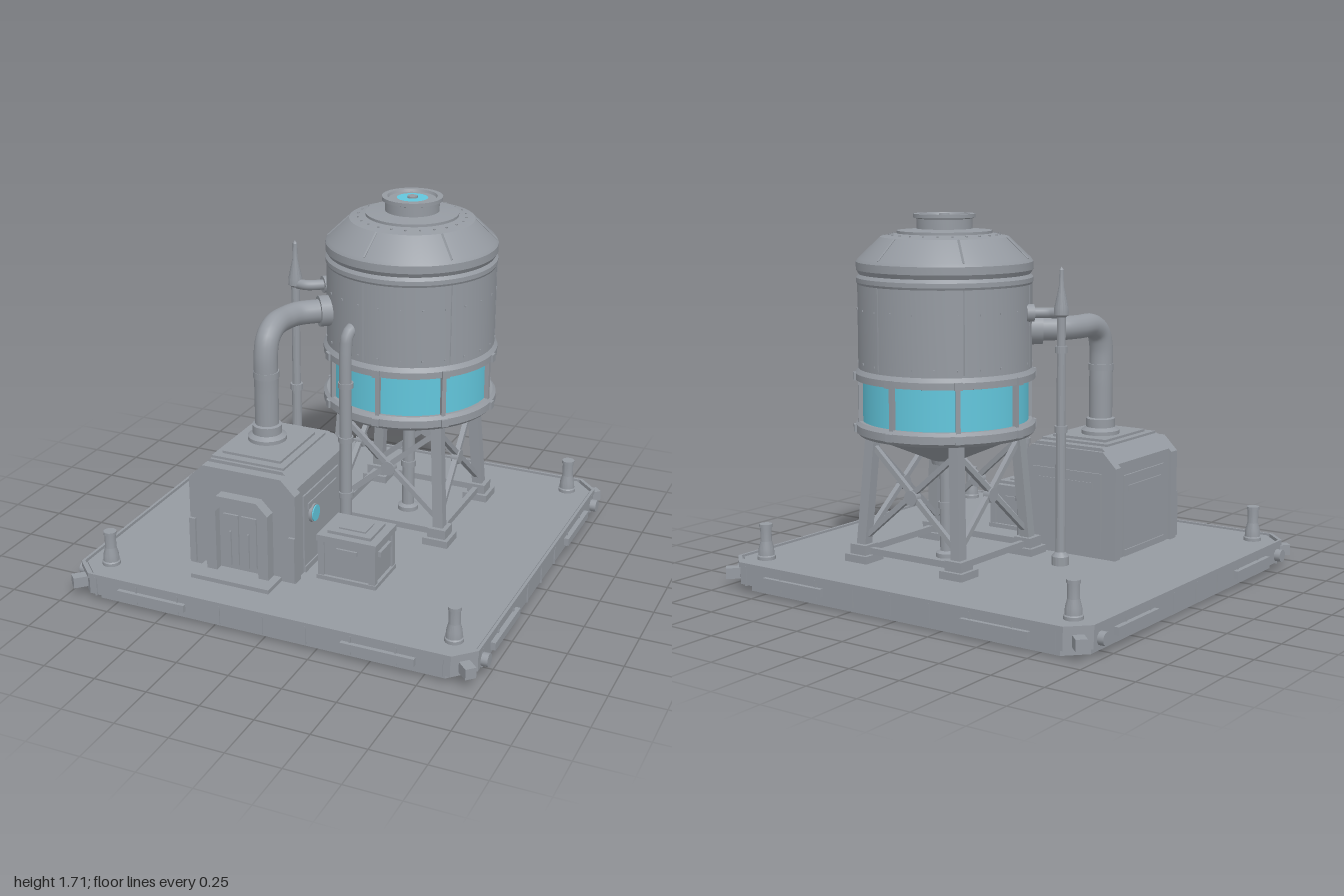
import * as THREE from 'three';
import { toCreasedNormals } from 'three/addons/utils/BufferGeometryUtils.js';

const V = (x, y, z) => new THREE.Vector3(x, y, z);
const mat = (name, color) => Object.assign(new THREE.MeshStandardMaterial({ color }), { name });

export function createModel() {
  const grey = mat('steel grey', 0x959aa1);
  const cyan = mat('water cyan', 0x62c6dc);
  const model = new THREE.Group();
  model.name = 'waterTower';

  const group = (name, x = 0, y = 0, z = 0) => {
    const g = new THREE.Group();
    g.name = name;
    g.position.set(x, y, z);
    model.add(g);
    return g;
  };
  const add = (parent, name, geo, x = 0, y = 0, z = 0, m = grey) => {
    const mesh = new THREE.Mesh(geo, m);
    mesh.name = name;
    mesh.position.set(x, y, z);
    parent.add(mesh);
    return mesh;
  };
  const box = (p, name, w, h, d, x, y, z) => add(p, name, new THREE.BoxGeometry(w, h, d), x, y, z);
  const lathe = (pts, seg = 24) => toCreasedNormals(
    new THREE.LatheGeometry(pts.map(([r, y]) => new THREE.Vector2(r, y)), seg), 0.35);
  // Straight bar or rod between two points
  const strut = (p, name, a, b, w, round) => {
    const len = a.distanceTo(b);
    const geo = round ? new THREE.CylinderGeometry(w, w, len, 16) : new THREE.BoxGeometry(w, len, w);
    const mesh = add(p, name, geo);
    mesh.position.copy(a).lerp(b, 0.5);
    mesh.quaternion.setFromUnitVectors(V(0, 1, 0), b.clone().sub(a).normalize());
    return mesh;
  };
  const tube = (p, name, pts, r) => add(p, name,
    new THREE.TubeGeometry(new THREE.CatmullRomCurve3(pts, false, 'centripetal'), 48, r, 18));
  const poly = pts => new THREE.Shape(pts.map(([x, y]) => new THREE.Vector2(x, y)));
  const octagon = (w, d, c) => poly([[-w + c, -d], [w - c, -d], [w, -d + c], [w, d - c],
    [w - c, d], [-w + c, d], [-w, d - c], [-w, -d + c]]);
  // Outline with a flat foot and two cut upper corners
  const gable = (w, h, c) => poly([[-w, 0], [w, 0], [w, h - c], [w - c, h], [-w + c, h], [-w, h - c]]);
  const extrude = (shape, depth) => new THREE.ExtrudeGeometry(shape, { depth, bevelEnabled: false });

  // Base slab: stacked octagonal layers
  const base = group('base');
  [['lowerSlab', 0.93, 0.9, 0, 0.035], ['mainSlab', 0.965, 0.935, 0.035, 0.085],
    ['topSlab', 0.95, 0.92, 0.12, 0.01]].forEach(([name, w, d, y, h]) => {
    add(base, name, extrude(octagon(w, d, 0.09), h), 0, y, 0).rotation.x = -Math.PI / 2;
  });
  const rim = octagon(0.97, 0.94, 0.09);
  rim.holes.push(octagon(0.957, 0.927, 0.088));
  add(base, 'topRim', extrude(rim, 0.025), 0, 0.113, 0).rotation.x = -Math.PI / 2;
  const post = lathe([[0, 0], [0.042, 0], [0.042, 0.015], [0.037, 0.02], [0.035, 0.05], [0.026, 0.085],
    [0.026, 0.15], [0.03, 0.15], [0.03, 0.165], [0, 0.165]]);
  for (const s of [-1, 1]) {
    for (const t of [-1, 1]) {
      box(base, 'edgePanelZ', 0.34, 0.036, 0.03, t * 0.55, 0.073, s * 0.94);
      box(base, 'edgePanelX', 0.03, 0.036, 0.33, s * 0.973, 0.073, t * 0.525);
      add(base, 'cornerPost', post, s * 0.84, 0.13, t * 0.8);
      box(base, 'cornerLight', 0.05, 0.05, 0.09, s * 0.935, 0.075, t * 0.905).rotation.y = s * t * Math.PI / 4;
    }
    for (let i = -4; i <= 4; i++) {
      box(base, 'edgeRib', 0.008, 0.09, 0.008, i * 0.21, 0.077, s * 0.937);
      box(base, 'edgeRib', 0.008, 0.09, 0.008, s * 0.967, 0.077, i * 0.2);
    }
    const bolt = add(base, 'sideBolt', new THREE.CylinderGeometry(0.03, 0.03, 0.03, 12), s * 0.985, 0.073, 0.8);
    bolt.rotation.z = Math.PI / 2;
    const bolt2 = bolt.clone();
    bolt2.position.z = -0.8;
    base.add(bolt2);
  }

  // Tank
  const tank = group('tank', 0.185, 0, -0.29);
  add(tank, 'tankBody', lathe([[0.38, 0.965], [0.41, 0.97], [0.41, 1.0], [0.395, 1.02], [0.395, 1.4],
    [0.4, 1.41], [0.4, 1.43], [0.388, 1.445], [0.4, 1.465], [0.4, 1.5], [0.39, 1.515], [0.29, 1.61], [0.215, 1.625],
    [0.215, 1.637], [0.125, 1.645], [0.125, 1.69], [0.14, 1.695], [0.14, 1.712], [0.115, 1.712],
    [0.11, 1.7], [0, 1.7]], 64));
  add(tank, 'waterWindow', new THREE.CylinderGeometry(0.379, 0.379, 0.21, 64, 1, true), 0, 0.87, 0, cyan);
  add(tank, 'tankFunnel', lathe([[0, 0.57], [0.065, 0.57], [0.07, 0.59], [0.36, 0.715], [0.395, 0.715],
    [0.41, 0.73], [0.41, 0.765], [0.395, 0.78], [0.37, 0.78]], 64));
  const lid = add(tank, 'lidGlass', new THREE.RingGeometry(0.025, 0.072, 32), 0, 1.704, 0, cyan);
  lid.rotation.x = -Math.PI / 2;
  add(tank, 'lidHub', new THREE.CylinderGeometry(0.024, 0.024, 0.012, 16), 0, 1.706, 0);
  for (let i = 0; i < 8; i++) {
    const a = i * Math.PI / 4;
    const at = (r, y) => V(r * Math.sin(a), y, r * Math.cos(a));
    box(tank, 'windowBar', 0.02, 0.2, 0.022, ...at(0.388, 0.875).toArray()).rotation.y = a;
    for (const y of [0.748, 0.985]) {
      box(tank, 'ringClamp', 0.035, 0.035, 0.02, ...at(0.41, y).toArray()).rotation.y = a;
    }
  }
  for (let i = 0; i < 6; i++) {
    const a = (11 - 60 * i) * Math.PI / 180;
    const at = (r, y) => V(r * Math.sin(a), y, -r * Math.cos(a));
    strut(tank, 'domeSeam', at(0.389, 1.515), at(0.291, 1.609), 0.008);
    strut(tank, 'wallSeam', at(0.394, 1.03), at(0.394, 1.4), 0.005);
  }
  for (let i = 0; i < 24; i++) {
    const a = i * Math.PI / 12;
    add(tank, 'roofRivet', new THREE.CylinderGeometry(0.005, 0.005, 0.006, 6),
      0.25 * Math.sin(a), 1.62, 0.25 * Math.cos(a));
    for (const y of [1.05, 1.29]) {
      box(tank, 'wallRivet', 0.008, 0.008, 0.008, 0.396 * Math.sin(a), y, 0.396 * Math.cos(a)).rotation.y = a;
    }
  }

  // Legs, feet and cross braces, one side at a time
  const frame = group('supportFrame', 0.185, 0, -0.29);
  for (let i = 0; i < 4; i++) {
    const side = new THREE.Group();
    side.name = 'frameSide';
    side.rotation.y = i * Math.PI / 2;
    frame.add(side);
    box(side, 'footPlate', 0.125, 0.035, 0.125, 0.27, 0.147, 0.27);
    box(side, 'footBlock', 0.09, 0.05, 0.09, 0.27, 0.185, 0.27);
    strut(side, 'leg', V(0.27, 0.19, 0.27), V(0.235, 0.73, 0.235), 0.05);
    strut(side, 'brace', V(-0.262, 0.24, 0.262), V(0.238, 0.67, 0.238), 0.024);
    strut(side, 'brace', V(0.262, 0.24, 0.262), V(-0.238, 0.67, 0.238), 0.024);
    box(side, 'lowerRail', 0.46, 0.03, 0.025, 0, 0.18, 0.268);
    add(side, 'braceHub', new THREE.CylinderGeometry(0.035, 0.035, 0.035, 16), 0, 0.452, 0.25).rotation.x = Math.PI / 2;
  }
  add(frame, 'drainPipe', lathe([[0.05, 0.13], [0.05, 0.15], [0.03, 0.16], [0.03, 0.36], [0.037, 0.36],
    [0.037, 0.39], [0.03, 0.39], [0.03, 0.58]]));

  // Pump house
  const house = group('pumpHouse', -0.245, 0.13, 0);
  add(house, 'houseBody', extrude(gable(0.25, 0.515, 0.07), 0.5), 0, 0, 0.085);
  add(house, 'frontFrame', extrude(gable(0.265, 0.5, 0.07), 0.055), 0, 0, 0.58);
  add(house, 'rearFrame', extrude(gable(0.265, 0.5, 0.07), 0.045), 0, 0, 0.067);
  box(house, 'roofPlate', 0.36, 0.022, 0.44, 0, 0.515, 0.35);
  box(house, 'roofPlateTop', 0.29, 0.015, 0.36, 0, 0.53, 0.35);
  const cut = gable(0.155, 0.39, 0.055);
  cut.holes.push(new THREE.Path(gable(0.105, 0.34, 0.04).getPoints().map(p => p.setY(p.y + 0.015))));
  add(house, 'doorFrame', extrude(cut, 0.06), 0, 0, 0.63);
  add(house, 'door', extrude(gable(0.11, 0.36, 0.04), 0.02), 0, 0, 0.63);
  for (const s of [-1, 1]) {
    box(house, 'doorLeaf', 0.075, 0.25, 0.012, s * 0.045, 0.17, 0.654);
    box(house, 'doorHandle', 0.008, 0.17, 0.014, s * 0.045, 0.13, 0.663);
    box(house, 'frontStrip', 0.03, 0.22, 0.02, s * 0.25, 0.12, 0.638);
    box(house, 'sidePanel', 0.012, 0.37, 0.37, s * 0.252, 0.2, 0.34);
    box(house, 'sidePanelTrim', 0.022, 0.03, 0.3, s * 0.253, 0.32, 0.34);
    box(house, 'sidePanelSill', 0.022, 0.03, 0.37, s * 0.253, 0.02, 0.34);
  }
  box(house, 'rearPanel', 0.38, 0.36, 0.014, 0, 0.22, 0.065);
  box(house, 'rearPanelTrim', 0.3, 0.03, 0.022, 0, 0.34, 0.065);
  box(house, 'doorstep', 0.39, 0.02, 0.16, 0, 0.01, 0.69);
  add(house, 'gaugeRim', new THREE.CylinderGeometry(0.044, 0.044, 0.025, 24), 0.26, 0.27, 0.44).rotation.z = -Math.PI / 2;
  add(house, 'gaugeGlass', new THREE.CylinderGeometry(0.038, 0.038, 0.008, 24), 0.274, 0.27, 0.44, cyan).rotation.z = -Math.PI / 2;

  // Large pipe from the house roof into the tank
  const pipes = group('pipes');
  tube(pipes, 'feedPipe', [V(-0.27, 0.66, 0.32), V(-0.27, 0.9, 0.32), V(-0.27, 1.08, 0.32), V(-0.27, 1.15, 0.295),
    V(-0.27, 1.187, 0.23), V(-0.265, 1.19, 0.13), V(-0.24, 1.19, 0.05), V(-0.18, 1.19, -0.01), V(-0.1, 1.19, -0.07)], 0.055);
  add(pipes, 'feedPipeBase', lathe([[0.09, 0.66], [0.09, 0.685], [0.068, 0.7], [0.068, 0.74], [0.055, 0.745]]), -0.27, 0, 0.32);
  strut(pipes, 'tankFlange', V(-0.165, 1.19, -0.02), V(-0.12, 1.19, -0.056), 0.072, true);
  strut(pipes, 'feedPipeCollar', V(-0.27, 0.97, 0.32), V(-0.27, 1.0, 0.32), 0.06, true);

  // Slim pipe up the front of the tank
  tube(pipes, 'returnPipe', [V(0.03, 0.13, 0.11), V(0.03, 0.6, 0.11), V(0.03, 1.08, 0.11), V(0.034, 1.14, 0.1),
    V(0.042, 1.165, 0.06), V(0.05, 1.165, 0)], 0.029);
  for (const y of [0.14, 0.34, 0.62, 0.89]) {
    strut(pipes, 'returnPipeCollar', V(0.03, y, 0.11), V(0.03, y + 0.025, 0.11), 0.036, true);
  }

  // Mast with pointed tip, tied to the tank
  const mast = group('mast', -0.33, 0, -0.115);
  add(mast, 'mastPole', lathe([[0.04, 0.13], [0.04, 0.17], [0.023, 0.19], [0.023, 0.74], [0.03, 0.74], [0.03, 0.77],
    [0.02, 0.77], [0.02, 1.1], [0.028, 1.1], [0.028, 1.13], [0.02, 1.13], [0.02, 1.26], [0.033, 1.27], [0.033, 1.3],
    [0.012, 1.4], [0.01, 1.47], [0, 1.485]], 16));
  tube(mast, 'mastArm', [V(0, 1.275, 0), V(0.06, 1.275, 0.005), V(0.12, 1.275, -0.03), V(0.17, 1.275, -0.08)], 0.024);
  strut(mast, 'mastArmFlange', V(0.125, 1.275, -0.035), V(0.15, 1.275, -0.06), 0.04, true);

  // Equipment crate
  const crate = group('crate', 0.225, 0.13, 0.425);
  box(crate, 'crateBody', 0.26, 0.2, 0.21, 0, 0.1, 0);
  box(crate, 'crateFoot', 0.29, 0.02, 0.24, 0, 0.01, 0);
  box(crate, 'crateLid', 0.29, 0.03, 0.24, 0, 0.205, 0);
  box(crate, 'crateLidTop', 0.21, 0.018, 0.17, 0, 0.225, 0);
  box(crate, 'crateLidPlate', 0.13, 0.01, 0.1, 0, 0.236, 0);
  for (const s of [-1, 1]) {
    for (const t of [-1, 1]) box(crate, 'crateCorner', 0.03, 0.19, 0.03, s * 0.125, 0.1, t * 0.1);
    box(crate, 'crateLatch', 0.1, 0.02, 0.014, 0, 0.155, s * 0.108);
    box(crate, 'crateHandle', 0.02, 0.025, 0.12, s * 0.135, 0.15, 0);
  }
  return model;
}
